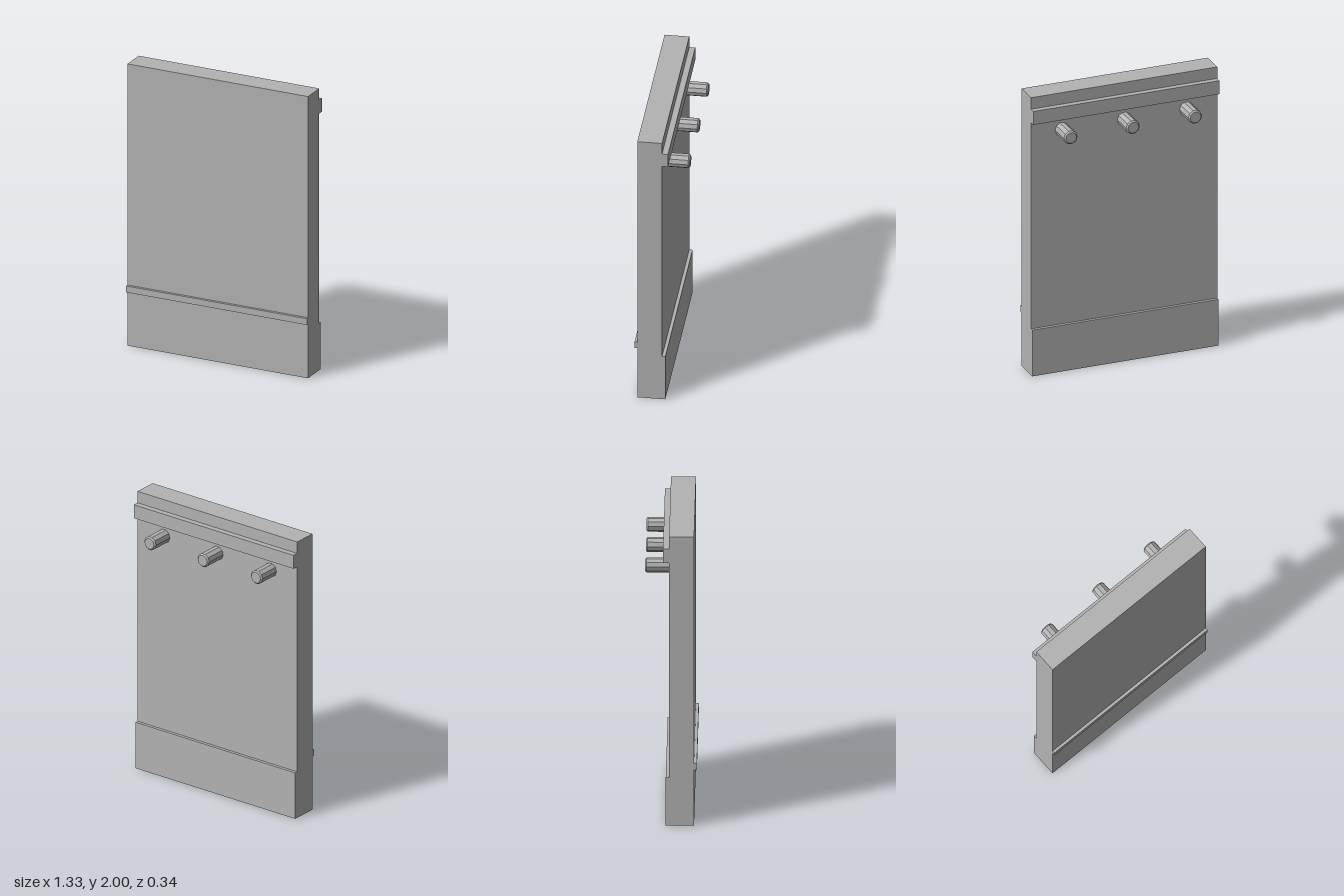
import * as THREE from 'three';

export function createModel() {
  const group = new THREE.Group();
  const grey = new THREE.MeshStandardMaterial({ color: 0xb3b3b3, flatShading: true });
  grey.name = 'plain grey';

  const add = (name, geometry, x, y, z, parent = group) => {
    const mesh = new THREE.Mesh(geometry, grey);
    mesh.name = name;
    mesh.position.set(x, y, z);
    parent.add(mesh);
    return mesh;
  };

  // full-width slab between two heights and two depths
  const width = 1.333;
  const slab = (name, y0, y1, z0, z1) =>
    add(name, new THREE.BoxGeometry(width, y1 - y0, z1 - z0), 0, (y0 + y1) / 2, (z0 + z1) / 2);

  const back = -0.012, front = 0.153;
  slab('wallPanel', 0, 2, back, front);
  slab('frontTrim', 0.385, 0.43, front, 0.172);
  slab('backSkirting', 0, 0.333, -0.034, back);
  slab('backRail', 1.82, 1.917, -0.052, back);

  // ten-sided pegs with a chamfered tip, pointing backwards
  const tip = -0.172, chamfer = 0.01, r = 0.049;
  const ten = (rTop, rBottom, length, open) =>
    new THREE.CylinderGeometry(rTop, rBottom, length, 10, 1, open, Math.PI / 2).rotateX(-Math.PI / 2);
  const shaftLength = back - tip - chamfer;
  for (const x of [-0.445, 0, 0.445]) {
    const peg = new THREE.Group();
    peg.name = 'peg';
    peg.position.set(x, 1.737, 0);
    add('pegShaft', ten(r, r, shaftLength, true), 0, 0, back - shaftLength / 2, peg);
    add('pegTip', ten(r - chamfer, r, chamfer, false), 0, 0, tip + chamfer / 2, peg);
    group.add(peg);
  }
  return group;
}
